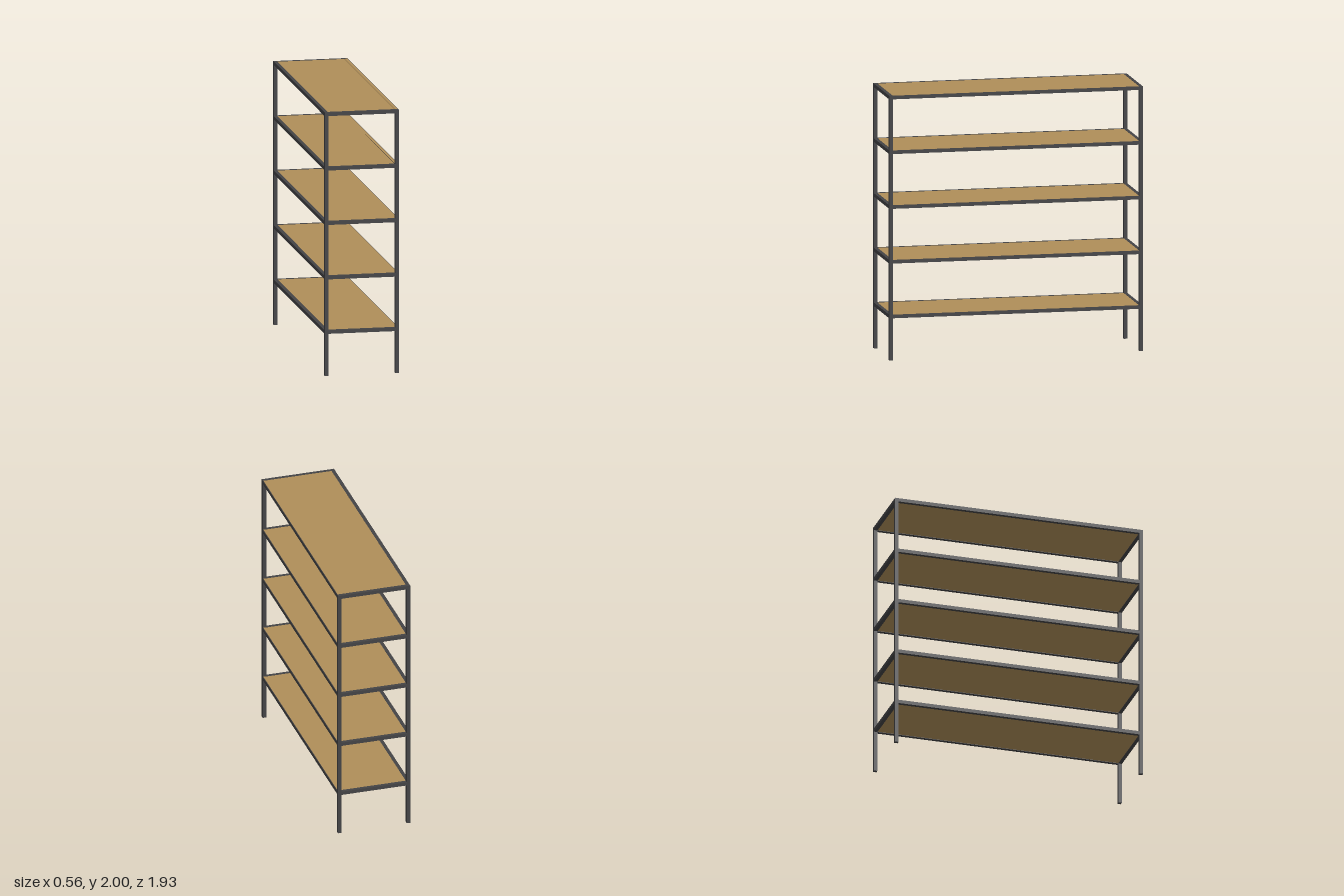
import * as THREE from 'three';

const HX = 0.281, HZ = 0.965, H = 2, T = 0.027; // half width, half length, height, tube size

export function createModel() {
  const steel = new THREE.MeshStandardMaterial({ color: 0x434345 });
  steel.name = 'darkSteel';
  const wood = new THREE.MeshStandardMaterial({ color: 0xaf8e59 });
  wood.name = 'wood';

  const rack = new THREE.Group();
  rack.name = 'shelfRack';

  const box = (parent, name, material, size, position) => {
    const mesh = new THREE.Mesh(new THREE.BoxGeometry(...size), material);
    mesh.name = name;
    mesh.position.set(...position);
    parent.add(mesh);
  };

  // Four square-tube legs
  for (const sx of [-1, 1]) {
    for (const sz of [-1, 1]) {
      box(rack, 'leg', steel, [T, H, T], [sx * (HX - T / 2), H / 2, sz * (HZ - T / 2)]);
    }
  }

  // Five shelves, each a steel frame holding a board
  for (let i = 0; i < 5; i++) {
    const shelf = new THREE.Group();
    shelf.name = 'shelf';
    shelf.position.y = H - i * 0.4135;
    rack.add(shelf);
    for (const s of [-1, 1]) {
      box(shelf, 'sideRail', steel, [T, T, 2 * (HZ - T)], [s * (HX - T / 2), -T / 2, 0]);
      box(shelf, 'endRail', steel, [2 * (HX - T), T, T], [0, -T / 2, s * (HZ - T / 2)]);
    }
    // Board between the rails
    const inner = HX - T;
    box(shelf, 'board', wood, [2 * inner, T - 0.004, 2 * (HZ - T)], [0, -T / 2 + 0.0015, 0]);
    // Board surface lapping over the left rail
    box(shelf, 'boardLap', wood, [T - 0.005, 0.002, 2 * (HZ - T)], [inner + (T - 0.005) / 2, -0.0005, 0]);
  }
  return rack;
}
